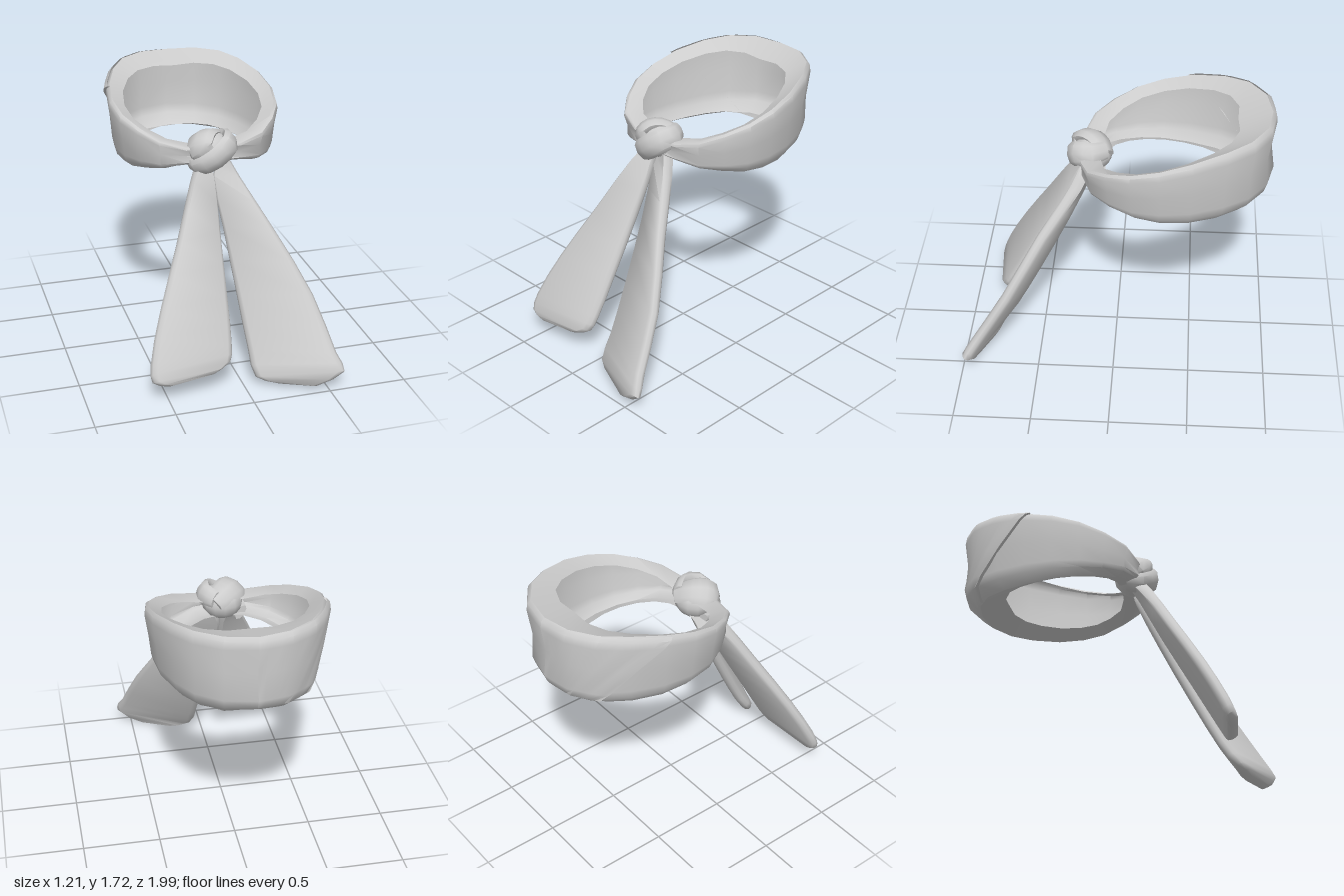
import * as THREE from 'three';
import { toCreasedNormals } from 'three/addons/utils/BufferGeometryUtils.js';

const V = (x, y, z) => new THREE.Vector3(x, y, z);
const cloth = new THREE.MeshStandardMaterial({ color: 0xcccccc, side: THREE.DoubleSide });
cloth.name = 'grey cloth';

// Skin a list of equal-length rings; options join the last ring to the first, cap the ends, or leave rings open.
function loft(rings, { joined = false, capped = false, openRing = false, crease = 0.8 } = {}) {
  const n = rings[0].length, m = rings.length, pts = rings.flat(), idx = [];
  for (let i = 0; i < (joined ? m : m - 1); i++) {
    for (let j = 0; j < (openRing ? n - 1 : n); j++) {
      const a = i * n + j, b = i * n + (j + 1) % n;
      const c = ((i + 1) % m) * n + j, d = ((i + 1) % m) * n + (j + 1) % n;
      idx.push(a, b, c, b, d, c);
    }
  }
  if (capped) {
    for (const [k, flip] of [[0, true], [m - 1, false]]) {
      const mid = rings[k].reduce((s, p) => s.add(p), V(0, 0, 0)).divideScalar(n);
      pts.push(mid);
      for (let j = 0; j < n; j++) {
        const a = k * n + j, b = k * n + (j + 1) % n;
        idx.push(...(flip ? [b, a, pts.length - 1] : [a, b, pts.length - 1]));
      }
    }
  }
  // Turn the faces outward when the enclosed volume is negative
  let volume = 0;
  for (let i = 0; i < idx.length; i += 3) {
    volume += pts[idx[i]].dot(V(0, 0, 0).crossVectors(pts[idx[i + 1]], pts[idx[i + 2]]));
  }
  if (volume < 0) idx.reverse();
  const geo = new THREE.BufferGeometry().setFromPoints(pts);
  geo.setIndex(idx);
  return toCreasedNormals(geo, crease);
}

function part(name, geo) {
  const mesh = new THREE.Mesh(geo, cloth);
  mesh.name = name;
  return mesh;
}

// Half outline of the neck band, back to front: x, z, top, bottom
const bandRows = [
  [0, -0.995, 1.72, 1.19], [0.2, -0.96, 1.725, 1.185], [0.36, -0.85, 1.72, 1.18],
  [0.46, -0.69, 1.7, 1.175], [0.535, -0.48, 1.66, 1.175], [0.558, -0.28, 1.61, 1.185],
  [0.53, -0.1, 1.56, 1.2], [0.45, 0.05, 1.51, 1.225], [0.34, 0.17, 1.46, 1.25],
  [0.18, 0.225, 1.42, 1.285], [0, 0.24, 1.41, 1.3],
];
const bandX = -0.035, bandZ = -0.3, lastRow = bandRows.length - 1;

// Point on the band: r = row, s = scale toward the middle, t = height fraction
function bandPoint(r, side, s, t, push = 0) {
  const i = Math.min(Math.floor(r), lastRow - 1), f = r - i;
  const [x, z, top, bottom] = bandRows[i].map((v, k) => v + (bandRows[i + 1][k] - v) * f);
  const k = s + push / Math.hypot(x, z - bandZ);
  return V(bandX + side * x * k, bottom + (top - bottom) * t, bandZ + (z - bandZ) * k);
}

// Outer face of the band at row r, top edge to underside, as [scale, height fraction]
const bulgeAt = (r) => Math.sin(Math.PI * r / lastRow);
const outerProfile = (r) => {
  const b = bulgeAt(r);
  return [[0.955, 1], [0.99, 0.96], [1, 0.87], [0.965, 0.55], [1 - 0.06 * b, 0.23],
    [0.97 - 0.05 * b, 0.12], [0.84, 0]];
};

// Hollow cloth ring with lips turned in at the top and bottom, gathered at the knot
function neckBand() {
  const rings = [];
  for (let i = 0; i < lastRow * 2; i++) {
    const side = i <= lastRow ? 1 : -1, r = i <= lastRow ? i : lastRow * 2 - i;
    const b = bulgeAt(r), f = r / lastRow;
    const topIn = 0.65 + 0.07 * f + 0.13 * b, lowIn = 0.57 + 0.13 * f + 0.035 * b;
    rings.push([[topIn, 0.89], ...outerProfile(r), [lowIn, 0.12]]
      .map(([s, t]) => bandPoint(r, side, s, t)));
  }
  return loft(rings, { joined: true, openRing: true });
}

// Overlapping layer with a diagonal edge
function bandFold() {
  const rings = [];
  for (let i = 0; i <= 13; i++) {
    const u = Math.min(i / 12, 1), push = i > 12 ? 0 : 0.02 * Math.sqrt(u);
    rings.push(outerProfile(0).map(([, t], j) => {
      const r = u * (1.4 + 2.8 * Math.pow(t, 0.75));
      return bandPoint(r, -1, outerProfile(r)[j][0], t, push);
    }));
  }
  return loft(rings, { openRing: true });
}

// Flat hanging end; each station is an inner edge point and an outer edge point
function tail(stations) {
  const [inner, outer] = [0, 1].map((k) => new THREE.CatmullRomCurve3(stations.map((s) => V(...s[k]))));
  const down = V(0, -0.87, 0.5), steps = (stations.length - 1) * 2, rings = [];
  for (let i = 0; i <= steps; i++) {
    const a = inner.getPoint(i / steps), b = outer.getPoint(i / steps);
    const half = i === steps ? 0.025 : 0.036;
    const normal = b.clone().sub(a).cross(down).normalize().multiplyScalar(half);
    rings.push([[0, 0], [0.02, 0.6], [0.07, 1], [0.93, 1], [0.98, 0.6], [1, 0],
      [0.98, -0.6], [0.93, -1], [0.07, -1], [0.02, -0.6]]
      .map(([k, h]) => a.clone().lerp(b, k).addScaledVector(normal, h)));
  }
  return loft(rings, { capped: true, crease: 1 });
}

// Flattened strand wrapped round the knot's middle
const knotMid = V(-0.04, 1.375, 0.16);
function strand(points, width, thick) {
  const path = new THREE.CatmullRomCurve3(points.map((p) => V(...p)));
  const steps = 10, rings = [];
  for (let i = 0; i <= steps; i++) {
    const p = path.getPoint(i / steps), t = path.getTangent(i / steps);
    const across = t.clone().cross(p.clone().sub(knotMid)).normalize();
    const out = across.clone().cross(t).normalize();
    const taper = 0.7 + 0.3 * Math.sin(Math.PI * i / steps);
    rings.push(Array.from({ length: 8 }, (_, j) => {
      const a = j * Math.PI / 4;
      return p.clone().addScaledVector(across, Math.cos(a) * width * taper)
        .addScaledVector(out, Math.sin(a) * thick * taper);
    }));
  }
  return loft(rings, { capped: true });
}

export function createModel() {
  const model = new THREE.Group();
  model.name = 'knottedScarf';
  model.add(part('neckBand', neckBand()), part('bandFold', bandFold()));

  // Hanging ends
  model.add(part('rightTail', tail([
    [[-0.06, 1.3, 0.17], [-0.14, 1.3, 0.2]],
    [[-0.04, 1.2, 0.23], [-0.2, 1.2, 0.27]],
    [[-0.042, 0.9, 0.38], [-0.34, 0.88, 0.45]],
    [[-0.05, 0.53, 0.58], [-0.5, 0.53, 0.64]],
    [[-0.062, 0.27, 0.72], [-0.6, 0.24, 0.78]],
    [[-0.085, 0.18, 0.77], [-0.6, 0.135, 0.82]],
    [[-0.2, 0.125, 0.8], [-0.5, 0.1, 0.83]],
  ])));
  model.add(part('leftTail', tail([
    [[0, 1.3, 0.17], [0.08, 1.3, 0.21]],
    [[-0.035, 1.2, 0.2], [0.13, 1.2, 0.26]],
    [[-0.005, 0.9, 0.33], [0.29, 0.91, 0.475]],
    [[0.03, 0.5, 0.53], [0.475, 0.54, 0.705]],
    [[0.055, 0.2, 0.69], [0.565, 0.22, 0.915]],
    [[0.075, 0.055, 0.79], [0.6, 0.115, 0.98]],
    [[0.21, 0.013, 0.84], [0.43, 0.013, 0.94]],
  ])));

  // Knot: a core with two strands crossing over it
  const knot = new THREE.Group();
  knot.name = 'knot';
  const core = part('knotCore', new THREE.SphereGeometry(1, 12, 8));
  core.scale.set(0.135, 0.115, 0.13);
  core.position.copy(knotMid);
  knot.add(core);
  knot.add(part('frontStrand', strand([
    [-0.16, 1.29, 0.13], [-0.145, 1.285, 0.23], [-0.04, 1.35, 0.285],
    [0.06, 1.425, 0.25], [0.08, 1.44, 0.15], [0.02, 1.43, 0.07],
  ], 0.078, 0.04)));
  knot.add(part('upperStrand', strand([
    [0.03, 1.41, 0.07], [-0.05, 1.45, 0.12], [-0.11, 1.45, 0.19],
    [-0.13, 1.41, 0.24], [-0.09, 1.37, 0.25],
  ], 0.1, 0.05)));
  model.add(knot);
  return model;
}
